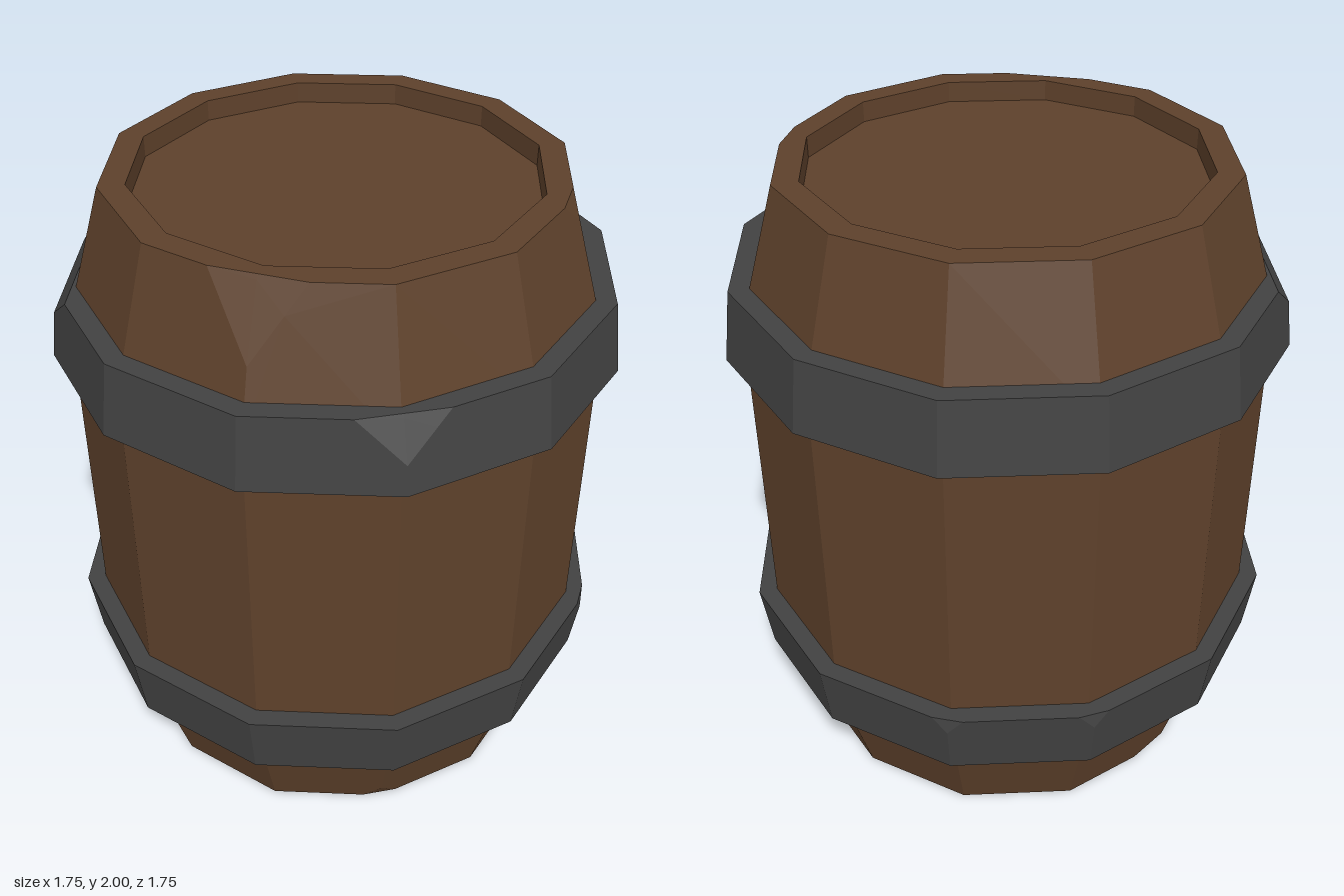
import * as THREE from 'three';

const SIDES = 12;
const wood = new THREE.MeshStandardMaterial({ color: 0x5e412b });
const iron = new THREE.MeshStandardMaterial({ color: 0x424242 });

// Part of a polygon on one side of a plane
function clip(poly, plane, side) {
  const out = [];
  poly.forEach((a, i) => {
    const b = poly[(i + 1) % poly.length];
    const da = plane.distanceToPoint(a) * side;
    const db = plane.distanceToPoint(b) * side;
    if (da >= 0) out.push(a.clone());
    if (da * db < 0) out.push(a.clone().lerp(b, da / (da - db)));
  });
  return out;
}

// Shaves off whatever lies outside a plane and closes the cut.
// The plane faces the given angle and passes through (r1, y1) and (r2, y2).
function shave(tris, [angle, r1, y1, r2, y2]) {
  const a = THREE.MathUtils.degToRad(angle);
  const s = Math.sign(y2 - y1);
  const nr = (y2 - y1) * s, ny = (r1 - r2) * s;
  const normal = new THREE.Vector3(Math.sin(a) * nr, ny, Math.cos(a) * nr).normalize();
  const point = new THREE.Vector3(Math.sin(a) * r1, y1, Math.cos(a) * r1);
  const plane = new THREE.Plane().setFromNormalAndCoplanarPoint(normal, point);
  const result = [];
  for (const tri of tris) {
    const inner = clip(tri, plane, -1);
    const outer = clip(tri, plane, 1).map((p) => plane.projectPoint(p, new THREE.Vector3()));
    for (const poly of [inner, outer])
      for (let i = 2; i < poly.length; i++) {
        const t = [poly[0], poly[i - 1], poly[i]];
        if (new THREE.Triangle(...t).getArea() > 1e-7) result.push(t);
      }
  }
  return result;
}

// Faceted turned part with worn chips
function turned(name, profile, material, chips) {
  const points = profile.map(([r, y]) => new THREE.Vector2(r, y));
  const pos = new THREE.LatheGeometry(points, SIDES).toNonIndexed().attributes.position;
  let tris = [];
  for (let i = 0; i < pos.count; i += 3) {
    const t = [0, 1, 2].map((k) => new THREE.Vector3().fromBufferAttribute(pos, i + k));
    if (new THREE.Triangle(...t).getArea() > 1e-7) tris.push(t);
  }
  for (const chip of chips) tris = shave(tris, chip);
  const geometry = new THREE.BufferGeometry().setFromPoints(tris.flat());
  geometry.computeVertexNormals();
  const mesh = new THREE.Mesh(geometry, material);
  mesh.name = name;
  return mesh;
}

export function createModel() {
  const group = new THREE.Group();
  group.name = 'barrel';

  // Staves with a recessed lid at each end
  group.add(turned('barrelBody', [
    [0, 0.065], [0.61, 0.065], [0.61, 0], [0.69, 0], [0.815, 0.42],
    [0.815, 1.58], [0.69, 2], [0.61, 2], [0.61, 1.935], [0, 1.935],
  ], wood, [
    [30, 0.672, 2, 0.709, 1.935],
    [-60, 0.653, 2, 0.77, 1.75],
    [-30, 0.675, 0, 0.71, 0.065],
    [180, 0.668, 0, 0.715, 0.085],
  ]));

  // Iron hoops, each flaring towards the middle
  group.add(turned('upperHoop', [
    [0.76, 1.465], [0.875, 1.465], [0.845, 1.69], [0.76, 1.69], [0.76, 1.465],
  ], iron, [
    [-135, 0.768, 1.69, 0.835, 1.6],
    [-30, 0.81, 1.69, 0.862, 1.56],
  ]));
  group.add(turned('lowerHoop', [
    [0.76, 0.32], [0.845, 0.32], [0.875, 0.545], [0.76, 0.545], [0.76, 0.32],
  ], iron, [30, 120, 150].map((a) => [a, 0.862, 0.545, 0.868, 0.49])));

  return group;
}
